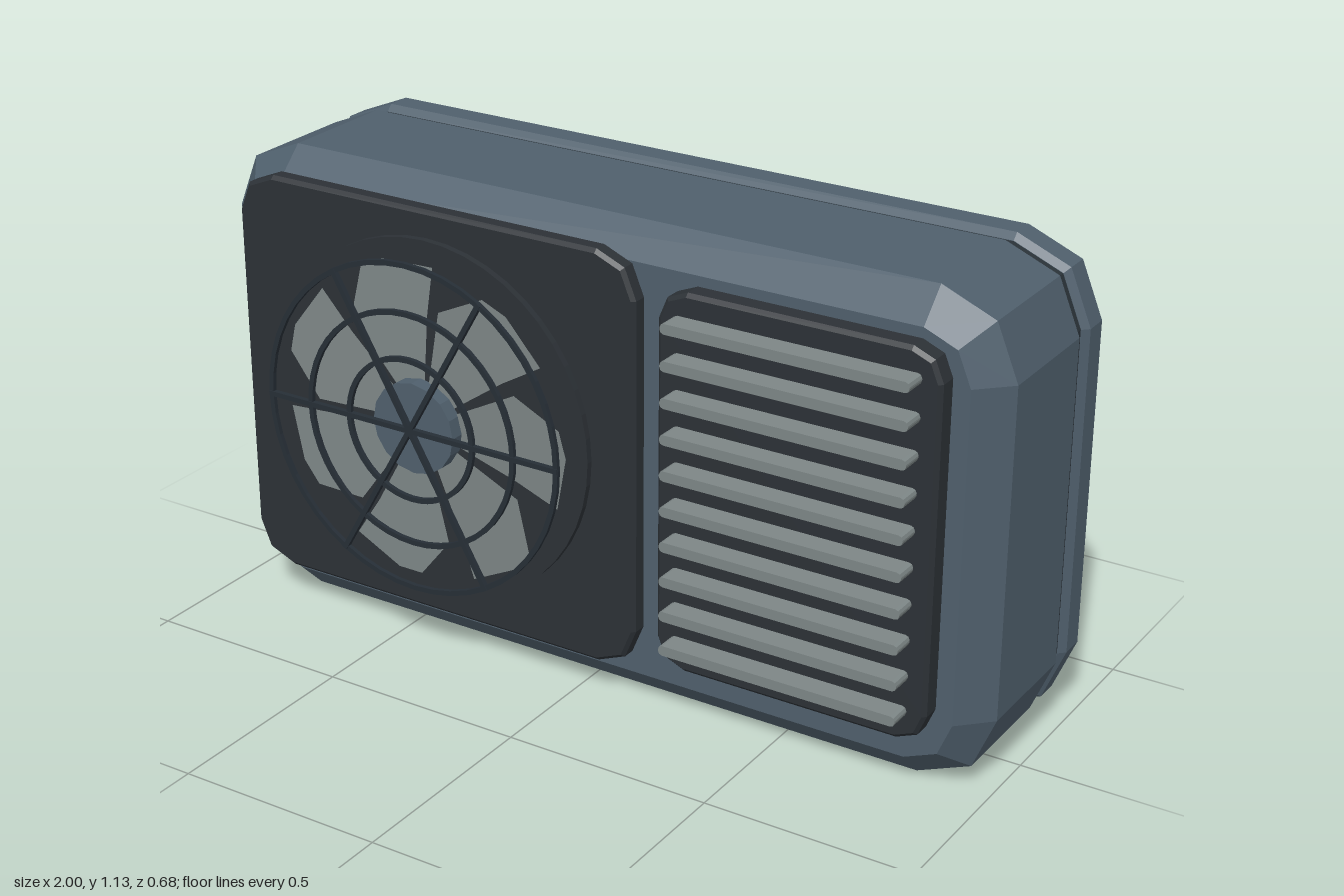
import * as THREE from 'three';

const mat = (name, color, side = THREE.FrontSide) => {
  const m = new THREE.MeshStandardMaterial({ color, side, flatShading: true });
  m.name = name;
  return m;
};

// Rectangle outline with two-facet corners, counter-clockwise from the front
function outline(w, h, r) {
  const pts = [];
  [[1, 1], [-1, 1], [-1, -1], [1, -1]].forEach(([sx, sy], q) => {
    for (let i = 0; i <= 2; i++) {
      const a = q * Math.PI / 2 + i * Math.PI / 4;
      pts.push([sx * (w / 2 - r) + r * Math.cos(a), sy * (h / 2 - r) + r * Math.sin(a)]);
    }
  });
  return pts;
}

// Closed solid lofted through [z, inset] sections, back to front
function loft(w, h, r, sections) {
  const loops = sections.map(([z, d]) =>
    outline(w - 2 * d, h - 2 * d, Math.max(r - d, 0.01)).map(([x, y]) => [x, y, z]));
  const pos = [];
  const tri = (...p) => p.forEach((v) => pos.push(...v));
  const n = loops[0].length;
  const last = loops.length - 1;
  for (let i = 0; i < n; i++) {
    const j = (i + 1) % n;
    for (let k = 0; k < last; k++) {
      const a = loops[k], b = loops[k + 1];
      tri(a[i], a[j], b[j]);
      tri(a[i], b[j], b[i]);
    }
    tri([0, 0, sections[last][0]], loops[last][i], loops[last][j]);
    tri([0, 0, sections[0][0]], loops[0][j], loops[0][i]);
  }
  const g = new THREE.BufferGeometry();
  g.setAttribute('position', new THREE.Float32BufferAttribute(pos, 3));
  g.computeVertexNormals();
  return g;
}

// Flat ring with thickness
function ringGeometry(outer, inner, depth) {
  const s = new THREE.Shape().absarc(0, 0, outer, 0, Math.PI * 2, false);
  s.holes.push(new THREE.Path().absarc(0, 0, inner, 0, Math.PI * 2, true));
  return new THREE.ExtrudeGeometry(s, { depth, bevelEnabled: false, curveSegments: 24 });
}

export function createModel() {
  const root = new THREE.Group();
  root.name = 'wallUnit';
  const shell = mat('slate blue shell', 0x4f5f6c);
  const panel = mat('charcoal panel', 0x2c3136);
  const groove = mat('dark seam', 0x2a3238);
  const metal = mat('grey metal', 0x7d8686);
  const bladeMat = mat('grey blade', 0x7d8686, THREE.DoubleSide);
  const wire = mat('dark grille', 0x262e36);

  const add = (parent, name, geo, material, x = 0, y = 0, z = 0) => {
    const m = new THREE.Mesh(geo, material);
    m.name = name;
    m.position.set(x, y, z);
    parent.add(m);
    return m;
  };

  // Case: front shell, recessed seam, back shell
  const cy = 0.565;
  add(root, 'frontShell', loft(2, 1.13, 0.18,
    [[-0.17, 0.015], [-0.155, 0], [0.14, 0], [0.21, 0.07]]), shell, 0, cy);
  add(root, 'seam', loft(2, 1.13, 0.18, [[-0.2, 0.016], [-0.165, 0.016]]), groove, 0, cy);
  add(root, 'backShell', loft(2, 1.13, 0.18,
    [[-0.34, 0.07], [-0.27, 0], [-0.212, 0], [-0.197, 0.015]]), shell, 0, cy);

  // Raised front panels
  add(root, 'fanPanel', loft(1.076, 0.99, 0.1,
    [[0.205, 0.008], [0.213, 0], [0.243, 0], [0.252, 0.009]]), panel, -0.373, 0.59);
  add(root, 'ventPanel', loft(0.664, 0.896, 0.07,
    [[0.2, 0], [0.25, 0], [0.259, 0.009]]), panel, 0.558, 0.588);

  // Vent slats with slightly chamfered edges
  const vent = new THREE.Group();
  vent.name = 'ventSlats';
  root.add(vent);
  const slat = loft(0.58, 0.024, 0.006, [[0.25, 0], [0.313, 0]]);
  for (let i = 0; i < 10; i++) add(vent, 'slat', slat, metal, 0.556, 0.213 + i * 0.0842);

  // Fan
  const fan = new THREE.Group();
  fan.name = 'fan';
  fan.position.set(-0.377, 0.59, 0);
  root.add(fan);
  const disc = new THREE.CylinderGeometry(0.432, 0.432, 0.022, 48).rotateX(Math.PI / 2);
  add(fan, 'fanBackplate', disc, panel, 0, 0, 0.257);
  const hub = new THREE.CylinderGeometry(0.11, 0.11, 0.036, 16).rotateX(Math.PI / 2);
  add(fan, 'hub', hub, shell, 0, 0, 0.306);

  // Seven swept, slightly pitched blades
  const bladeShape = new THREE.Shape([[0.08, -0.03], [0.25, -0.085], [0.36, -0.13],
    [0.39, 0], [0.375, 0.065], [0.26, 0.125], [0.08, 0.035]]
    .map(([x, y]) => new THREE.Vector2(x, y)));
  const bladeGeo = new THREE.ShapeGeometry(bladeShape).rotateX(0.04);
  for (let i = 0; i < 7; i++) {
    const b = add(fan, 'blade', bladeGeo, bladeMat, 0, 0, 0.29);
    b.rotation.z = 0.02 + i * Math.PI * 2 / 7;
  }

  // Grille rings and spokes
  const grille = new THREE.Group();
  grille.name = 'grille';
  grille.position.z = 0.329;
  fan.add(grille);
  for (const r of [0.17, 0.28, 0.395]) {
    add(grille, 'grilleRing', ringGeometry(r + 0.006, r - 0.006, 0.01), wire);
  }
  const spoke = new THREE.BoxGeometry(0.8, 0.012, 0.012);
  for (let i = 0; i < 3; i++) {
    add(grille, 'spoke', spoke, wire, 0, 0, 0.006).rotation.z = i * Math.PI / 3;
  }
  return root;
}
